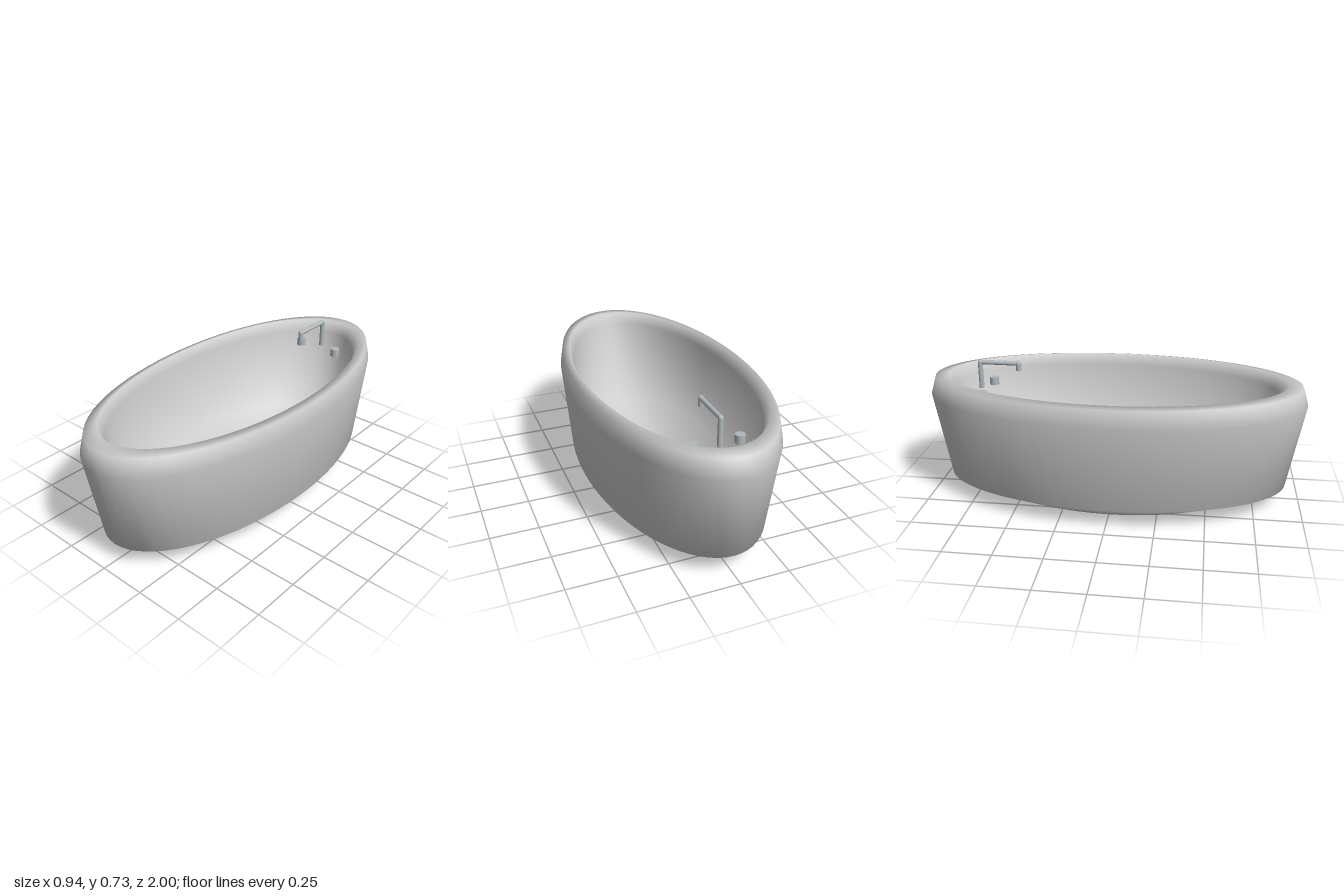
import * as THREE from 'three';

const STRETCH = 2.119; // length of the oval relative to its width

export function createModel() {
  const model = new THREE.Group();
  const enamel = new THREE.MeshStandardMaterial({ color: 0xf4f4f2 });
  const metal = new THREE.MeshStandardMaterial({ color: 0xb0b8bc });
  const brass = new THREE.MeshStandardMaterial({ color: 0xb8a878 });

  function add(parent, name, geometry, material, x = 0, y = 0, z = 0) {
    const mesh = new THREE.Mesh(geometry, material);
    mesh.name = name;
    mesh.position.set(x, y, z);
    parent.add(mesh);
    return mesh;
  }

  // Tub: one closed profile, up the outside, over the rim, down the wall to the floor
  const profile = [
    [0, 0], [0.292, 0], [0.435, 0.1], [0.472, 0.555], [0.458, 0.65], [0.422, 0.66],
    [0.405, 0.6], [0.35, 0.15], [0, 0.1],
  ].map(([r, y]) => new THREE.Vector2(r, y));
  const tub = new THREE.LatheGeometry(profile, 72);
  tub.scale(1, 1, STRETCH);
  add(model, 'tub', tub, enamel);

  // Faucet: post, spout and a slightly thicker nozzle, with round elbows
  const faucet = new THREE.Group();
  faucet.name = 'faucet';
  model.add(faucet);
  const top = 0.714, base = 0.57, mouth = 0.675, back = -0.73, tip = -0.52;
  const pipe = (r, length) => new THREE.CylinderGeometry(r, r, length, 20);
  add(faucet, 'post', pipe(0.013, top - base), metal, 0, (top + base) / 2, back);
  add(faucet, 'spout', pipe(0.012, tip - back), metal, 0, top, (tip + back) / 2).rotation.x = Math.PI / 2;
  add(faucet, 'nozzle', pipe(0.0145, top - mouth), metal, 0, (top + mouth) / 2, tip);
  add(faucet, 'backElbow', new THREE.SphereGeometry(0.013, 20, 12), metal, 0, top, back);
  add(faucet, 'frontElbow', new THREE.SphereGeometry(0.0145, 20, 12), metal, 0, top, tip);

  // Tap knobs on either side of the faucet
  for (const side of [-1, 1]) {
    add(model, side > 0 ? 'leftKnob' : 'rightKnob',
      new THREE.CylinderGeometry(0.025, 0.025, 0.042, 24), metal, side * 0.12, 0.571, -0.695);
  }

  // Drain set in the floor
  add(model, 'drain', new THREE.CylinderGeometry(0.027, 0.027, 0.03, 24), brass, 0, 0.112, 0.18);

  return model;
}
